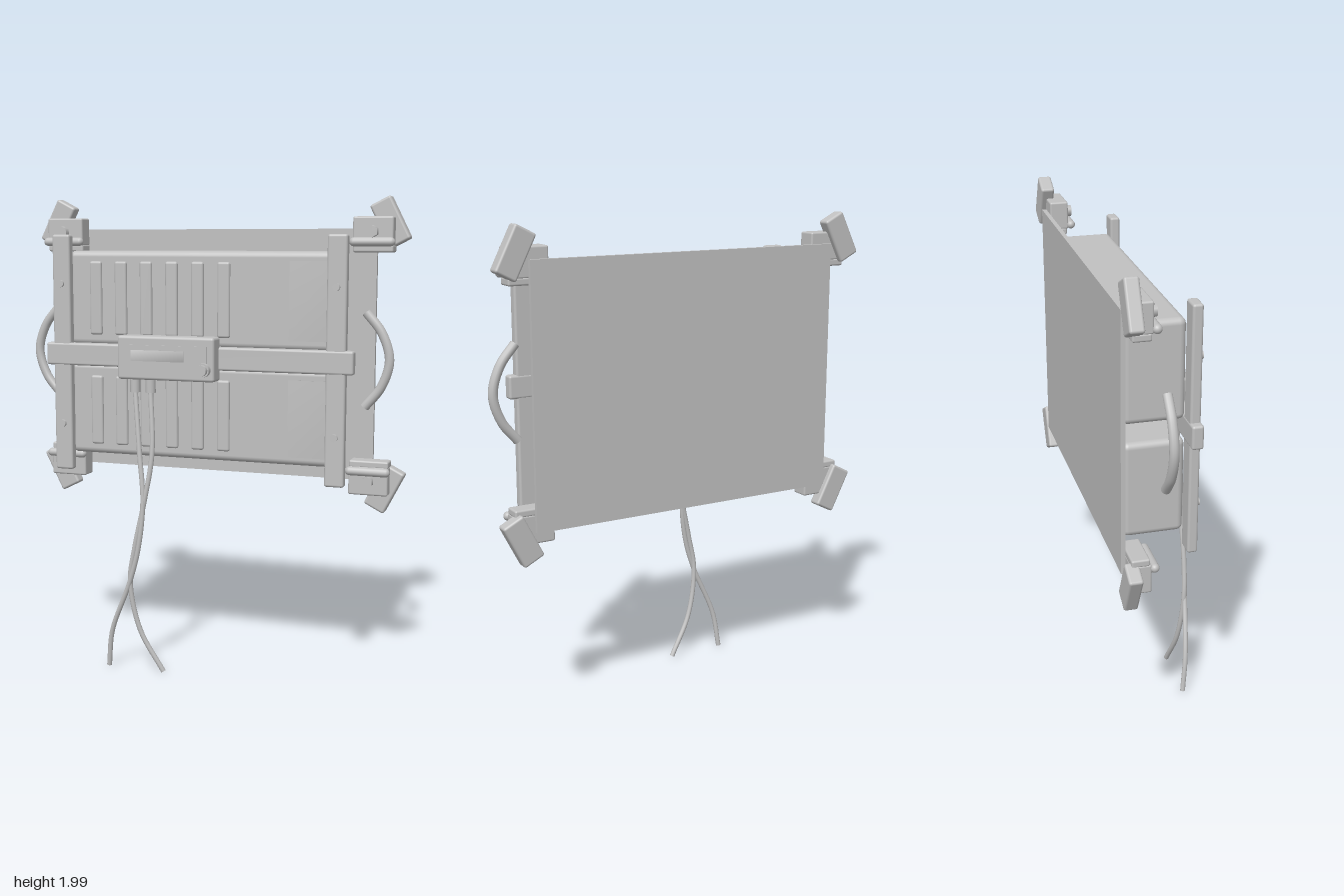
import * as THREE from 'three';
import { RoundedBoxGeometry } from 'three/addons/geometries/RoundedBoxGeometry.js';
import { mergeVertices } from 'three/addons/utils/BufferGeometryUtils.js';

export function createModel() {
  const root = new THREE.Group();
  root.name = 'wallMountedUnit';
  const grey = new THREE.MeshStandardMaterial({ color: 0xc0c0c0 });
  grey.name = 'lightGrey';

  const add = (name, geo, x = 0, y = 0, z = 0, parent = root) => {
    const m = new THREE.Mesh(geo, grey);
    m.name = name;
    m.position.set(x, y, z);
    parent.add(m);
    return m;
  };
  // Rounded box from its bounds on each axis
  const block = (name, [x0, x1], [y0, y1], [z0, z1], r = 0.01, parent = root) =>
    add(name, new RoundedBoxGeometry(x1 - x0, y1 - y0, z1 - z0, 3, r),
      (x0 + x1) / 2, (y0 + y1) / 2, (z0 + z1) / 2, parent);
  // Thin plate with softly blended normals
  const softPlate = (name, [x0, x1], [y0, y1], [z0, z1]) => {
    const box = new THREE.BoxGeometry(x1 - x0, y1 - y0, z1 - z0);
    box.deleteAttribute('normal');
    box.deleteAttribute('uv');
    const geo = mergeVertices(box);
    geo.computeVertexNormals();
    return add(name, geo, (x0 + x1) / 2, (y0 + y1) / 2, (z0 + z1) / 2);
  };
  // Cylinder pointing along z
  const stud = (name, x, y, z0, z1, r, sides = 20, parent = root) =>
    add(name, new THREE.CylinderGeometry(r, r, z1 - z0, sides).rotateX(Math.PI / 2),
      x, y, (z0 + z1) / 2, parent);
  const tube = (name, pts, r, parent = root) => {
    const curve = new THREE.CatmullRomCurve3(pts.map(p => new THREE.Vector3(...p)));
    add(name, new THREE.TubeGeometry(curve, 48, r, 12), 0, 0, 0, parent);
    // End caps
    [[0, -1], [1, 1]].forEach(([t, s]) => {
      const cap = add(name + 'End', new THREE.CircleGeometry(r, 12), 0, 0, 0, parent);
      cap.position.copy(curve.getPoint(t));
      cap.quaternion.setFromUnitVectors(new THREE.Vector3(0, 0, 1),
        curve.getTangent(t).multiplyScalar(s));
    });
  };

  // Back plate
  add('backPlate', new THREE.BoxGeometry(1.37, 1.04, 0.018), 0, 1.35, -0.201);

  // Two housings with raised ribs and a side panel
  const housings = [
    { name: 'upper', y: [1.385, 1.78], ribs: [1.43, 1.737], panel: [1.425, 1.742] },
    { name: 'lower', y: [0.92, 1.31], ribs: [0.963, 1.257], panel: [0.955, 1.268] },
  ];
  for (const h of housings) {
    block(h.name + 'Housing', [-0.58, 0.573], h.y, [-0.175, 0.063], 0.025);
    for (let i = 0; i < 6; i++) {
      const x = -0.453 + i * 0.1135;
      block(h.name + 'Rib', [x - 0.027, x + 0.027], h.ribs, [0.05, 0.075], 0.01);
    }
    softPlate(h.name + 'Panel', [0.39, 0.555], h.panel, [0.059, 0.068]);
  }

  // Frame rails with bolts
  for (const x of [-0.597, 0.592]) {
    block('verticalRail', [x - 0.04, x + 0.04], [0.85, 1.847], [0.064, 0.105], 0.01);
    for (const y of [1.643, 1.05]) stud('railBolt', x, y, 0.1, 0.117, 0.015);
  }
  block('crossBar', [-0.67, 0.664], [1.3, 1.395], [0.062, 0.108], 0.01);

  // Control box with display, knob and cable glands
  block('controlBox', [-0.315, 0.108], [1.257, 1.437], [0.085, 0.167], 0.012);
  add('displayFrame', new THREE.BoxGeometry(0.355, 0.095, 0.008), -0.1, 1.353, 0.167);
  softPlate('displayScreen', [-0.25, -0.02], [1.335, 1.38], [0.167, 0.175]);
  stud('knobBase', 0.067, 1.307, 0.16, 0.188, 0.028);
  stud('knobCap', 0.067, 1.307, 0.185, 0.207, 0.022);
  for (const x of [-0.249, -0.18]) {
    add('cableGland', new THREE.CylinderGeometry(0.021, 0.021, 0.06, 16), x, 1.232, 0.133);
  }

  // Two crossing cables
  tube('cableA', [[-0.249, 1.21, 0.133], [-0.22, 0.95, 0.162], [-0.2, 0.75, 0.178],
    [-0.22, 0.55, 0.184], [-0.262, 0.4, 0.178], [-0.355, 0.17, 0.157], [-0.378, 0.01, 0.141]], 0.0105);
  tube('cableB', [[-0.18, 1.21, 0.133], [-0.165, 0.95, 0.16], [-0.195, 0.75, 0.175],
    [-0.238, 0.55, 0.18], [-0.262, 0.4, 0.174], [-0.225, 0.19, 0.159], [-0.127, 0.01, 0.141]], 0.0105);

  for (const s of [-1, 1]) {
    // Bowed side handles
    tube('sideHandle', [[0.68, 1.54, -0.038], [0.745, 1.458, -0.038], [0.777, 1.35, -0.038],
      [0.745, 1.242, -0.038], [0.68, 1.16, -0.038]].map(([x, y, z]) => [s * x, y, z]), 0.019);

    // Corner clamps, mirrored by position about the plate's centre
    for (const t of [-1, 1]) {
      const corner = new THREE.Group();
      corner.name = 'cornerClamp';
      corner.position.y = 1.35;
      root.add(corner);
      const span = (a, b, k) => (k > 0 ? [a, b] : [-b, -a]);
      const paw = add('clampPaw', new RoundedBoxGeometry(0.094, 0.192, 0.056, 3, 0.01),
        s * 0.741, t * 0.546, -0.186, corner);
      paw.rotation.z = s * t * 0.47;
      block('clampBlock', span(0.6, 0.765, s), span(0.45, 0.568, t), [-0.19, -0.112], 0.008, corner);
      block('clampFoot', span(0.6, 0.765, s), span(0.425, 0.455, t), [-0.19, -0.118], 0.008, corner);
      const bar = add('clampBar', new THREE.CapsuleGeometry(0.018, 0.15, 6, 14),
        s * 0.683, t * 0.467, -0.1, corner);
      bar.rotation.z = Math.PI / 2;
      stud('clampBolt', s * 0.685, t * 0.508, -0.12, -0.083, 0.024, 6, corner);
    }
  }
  return root;
}
